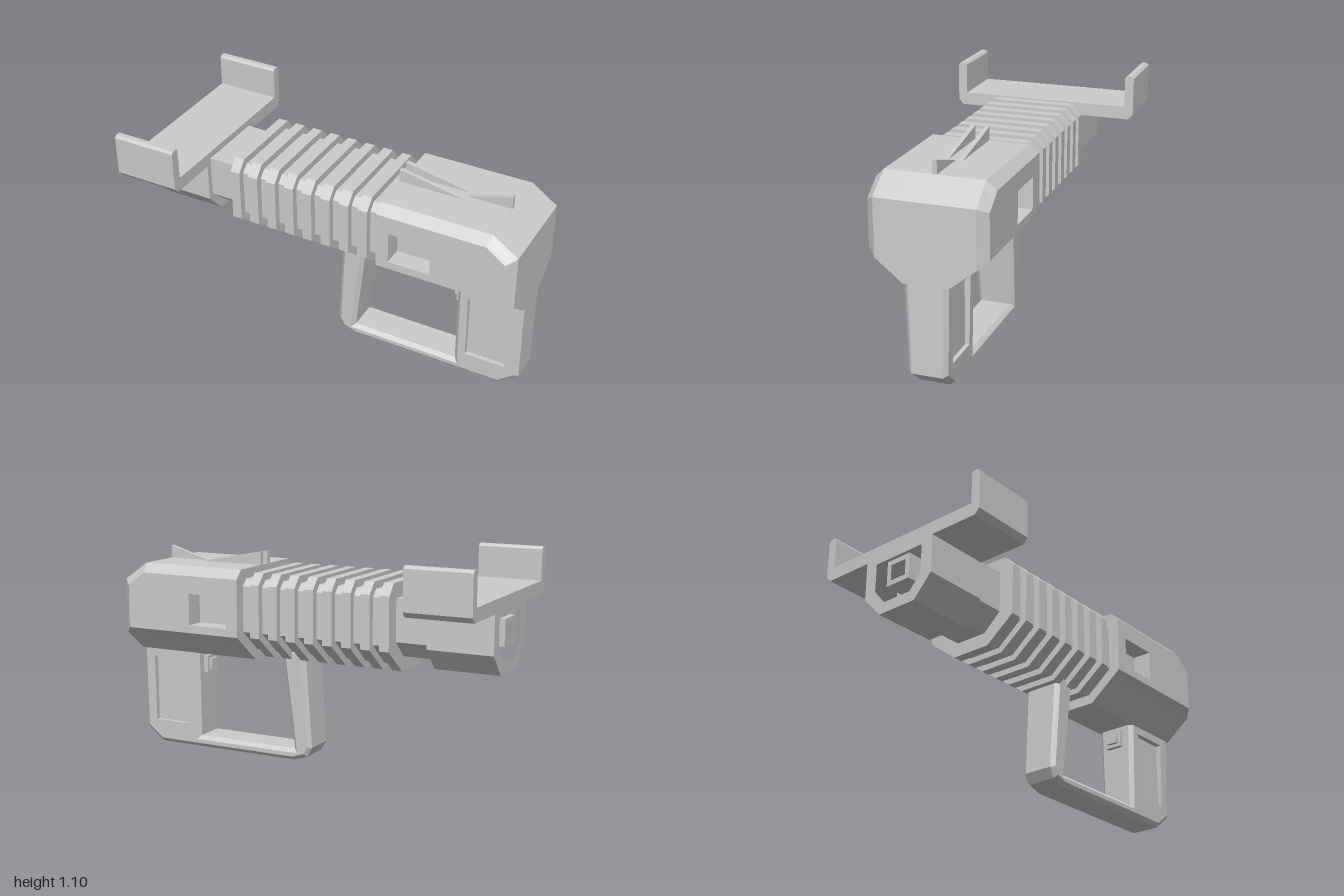
import * as THREE from 'three';

const mat = new THREE.MeshStandardMaterial({ color: 0xcccccc, flatShading: true });

const toShape = (pts) => new THREE.Shape(pts.map(([x, y]) => new THREE.Vector2(x, y)));
const rect = (x0, x1, y0, y1) => [[x0, y0], [x1, y0], [x1, y1], [x0, y1]];

// Half profile of [z, y] points (top to bottom) completed by its mirror image
const mirrored = (half) => [...half, ...half.slice().reverse().map(([z, y]) => [-z, y])];

// Prism along x from a symmetric [z, y] outline
function alongX(half, x0, x1, holeHalf) {
  const shape = toShape(mirrored(half));
  if (holeHalf) shape.holes.push(toShape(mirrored(holeHalf)));
  const geo = new THREE.ExtrudeGeometry(shape, { depth: x1 - x0, bevelEnabled: false });
  return geo.rotateY(Math.PI / 2).translate(x0, 0, 0);
}

// Prism centred on z from an [x, y] outline, with an optional chamfer
function alongZ(pts, halfWidth, holes = [], chamfer = 0, z = 0) {
  const shape = toShape(pts);
  holes.forEach((h) => shape.holes.push(toShape(h)));
  const depth = 2 * (halfWidth - chamfer);
  const geo = new THREE.ExtrudeGeometry(shape, {
    depth, bevelEnabled: chamfer > 0, bevelSegments: 1,
    bevelSize: chamfer, bevelThickness: chamfer, bevelOffset: -chamfer,
  });
  return geo.translate(0, 0, z - depth / 2);
}

// Skin between [x, y] rings placed at given z positions
function loft(sections) {
  const pos = [];
  for (let s = 0; s < sections.length - 1; s++) {
    const a = sections[s], b = sections[s + 1], n = a.ring.length;
    for (let i = 0; i < n; i++) {
      const j = (i + 1) % n;
      const p = [...a.ring[i], a.z], q = [...a.ring[j], a.z];
      const r = [...b.ring[j], b.z], t = [...b.ring[i], b.z];
      pos.push(...p, ...q, ...r, ...p, ...r, ...t);
    }
  }
  const geo = new THREE.BufferGeometry();
  geo.setAttribute('position', new THREE.Float32BufferAttribute(pos, 3));
  geo.computeVertexNormals();
  return geo;
}

// Copy mirrored across z, with its winding put right
function mirrorZ(source) {
  const geo = source.index ? source.toNonIndexed() : source.clone();
  const p = geo.attributes.position;
  for (let i = 0; i < p.count; i += 3) {
    const v = [0, 2, 1].map((k) => new THREE.Vector3().fromBufferAttribute(p, i + k));
    v.forEach((q, k) => p.setXYZ(i + k, q.x, q.y, -q.z));
  }
  geo.computeVertexNormals();
  return geo;
}

// Widens the handle slightly towards the top
function taper(geo) {
  const p = geo.attributes.position;
  for (let i = 0; i < p.count; i++) p.setZ(i, p.getZ(i) * (0.94 + 0.22 * p.getY(i)));
  geo.computeVertexNormals();
  return geo;
}

export function createModel() {
  const model = new THREE.Group();
  const add = (name, geo, parent = model) => {
    const mesh = new THREE.Mesh(geo, mat);
    mesh.name = name;
    parent.add(mesh);
    return mesh;
  };
  const group = (name) => {
    const g = new THREE.Group();
    g.name = name;
    model.add(g);
    return g;
  };

  // Receiver: chamfered body with a pocket in each side
  const receiver = group('receiver');
  const ring = (bottom, top, xTop, xRear, yRear) =>
    [[0.31, bottom], [xRear, bottom], [xRear, yRear], [xTop, top], [0.31, top]];
  const side = ring(0.65, 0.94, 0.86, 0.955, 0.87);
  const shoulder = ring(0.615, 0.985, 0.87, 1, 0.895);
  const middle = ring(0.51, 0.985, 0.87, 1, 0.895);
  add('receiverBody', loft([
    { z: -0.285, ring: side }, { z: -0.24, ring: shoulder }, { z: -0.108, ring: middle },
    { z: 0.108, ring: middle }, { z: 0.24, ring: shoulder }, { z: 0.285, ring: side },
  ]), receiver);
  const port = rect(0.375, 0.59, 0.69, 0.85);
  const sideShape = toShape(side);
  sideShape.holes.push(toShape(port));
  const sideParts = {
    SidePlate: new THREE.ShapeGeometry(sideShape).translate(0, 0, 0.285),
    PocketWalls: loft([{ z: 0.285, ring: port }, { z: 0.185, ring: port }]),
    PocketFloor: new THREE.ShapeGeometry(toShape(port)).translate(0, 0, 0.185),
  };
  for (const [name, geo] of Object.entries(sideParts)) {
    add('front' + name, geo, receiver);
    add('back' + name, mirrorZ(geo), receiver);
  }

  // Sights: twin fins ahead, single fin behind
  const sights = group('sights');
  for (const z of [-0.035, 0.035]) {
    add('foreSightFin', alongZ([[0.31, 0.98], [0.65, 0.985], [0.31, 1.05]], 0.011, [], 0, z), sights);
  }
  add('rearSightFin', alongZ([[0.65, 0.985], [0.87, 0.98], [0.87, 1.05]], 0.011), sights);

  // Ribbed barrel
  const barrel = group('barrel');
  add('barrelCore', alongX([[0.19, 0.935], [0.225, 0.9], [0.225, 0.67], [0.09, 0.56]], -0.5, 0.32), barrel);
  for (let i = 0; i < 8; i++) {
    const x = -0.5 + i * 0.1;
    add('barrelRib', alongX([[0.21, 0.97], [0.26, 0.915], [0.26, 0.65], [0.105, 0.53]], x, x + 0.05), barrel);
  }
  add('neck', alongX([[0.18, 0.895], [0.18, 0.685], [0.085, 0.6]], -0.7, -0.49), barrel);

  // Muzzle: hollow block, square tube and forked crossbar
  const muzzle = group('muzzle');
  const block = [[0.21, 0.87], [0.21, 0.67], [0.11, 0.56]];
  add('muzzleShroud', alongX(block, -1, -0.8, [[0.145, 0.835], [0.145, 0.69], [0.08, 0.615]]), muzzle);
  add('muzzleBlock', alongX(block, -0.8, -0.67), muzzle);
  add('muzzleTube', alongX([[0.07, 0.82], [0.07, 0.69]], -1, -0.79,
    [[0.045, 0.795], [0.045, 0.715]]), muzzle);
  add('fork', alongX([
    [0.445, 0.93], [0.445, 1.085], [0.455, 1.097], [0.48, 1.097],
    [0.492, 1.085], [0.492, 0.89], [0.467, 0.863],
  ], -1, -0.67), muzzle);

  // Handle: front strut, lower bar and grip in one chamfered loop
  const handle = group('handle');
  const panel = rect(0.72, 0.93, 0.12, 0.47);
  add('handleFrame', taper(alongZ([
    [0.035, 0.58], [0.002, 0.075], [0.03, 0.025], [0.105, 0], [0.905, 0], [1, 0.075],
    [1, 0.535], [0.66, 0.535], [0.66, 0.06], [0.1, 0.06], [0.16, 0.58],
  ], 0.1, [panel], 0.02)), handle);
  add('panelRim', taper(alongZ(rect(0.7, 0.95, 0.1, 0.49), 0.1, [panel])), handle);
  add('panelInset', alongZ(panel, 0.075), handle);

  // Trigger button on its base
  const trigger = group('trigger');
  add('triggerBase', alongZ(rect(0.637, 0.67, 0.395, 0.485), 0.045), trigger);
  add('triggerButton', alongZ(rect(0.62, 0.64, 0.412, 0.468), 0.03), trigger);

  return model;
}
